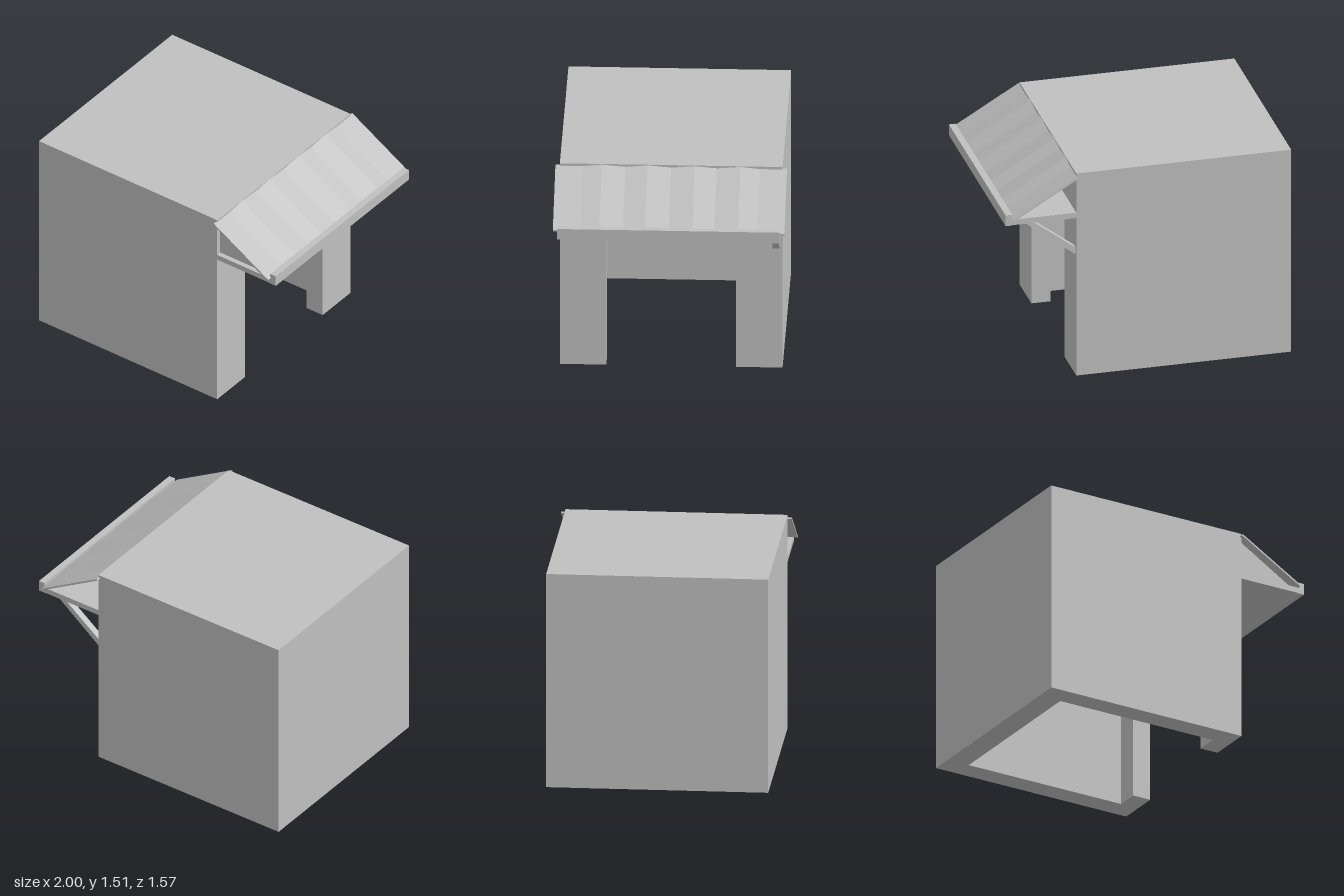
import * as THREE from 'three';

const grey = new THREE.MeshStandardMaterial({ color: 0xc0c0c0 });
grey.name = 'plain grey';

export function createModel() {
  const model = new THREE.Group();
  model.name = 'shopWithAwning';

  const add = (name, geometry, parent = model) => {
    const mesh = new THREE.Mesh(geometry, grey);
    mesh.name = name;
    parent.add(mesh);
    return mesh;
  };
  // Box given by its limits on each axis
  const block = (name, [x0, x1], [y0, y1], [z0, z1], parent) =>
    add(name, new THREE.BoxGeometry(x1 - x0, y1 - y0, z1 - z0), parent)
      .position.set((x0 + x1) / 2, (y0 + y1) / 2, (z0 + z1) / 2);
  const shapeOf = (points) => new THREE.Shape(points.map(([x, y]) => new THREE.Vector2(x, y)));
  const slab = (name, points, z0, z1, parent) =>
    add(name, new THREE.ExtrudeGeometry(shapeOf(points), { depth: z1 - z0, bevelEnabled: false }), parent)
      .position.z = z0;

  // Hollow building, open underneath, with a doorway in the +x wall
  const building = new THREE.Group();
  building.name = 'building';
  model.add(building);
  const wallX = 0.505, innerX = 0.37, backX = -0.835;
  const outerZ = 0.755, innerZ = 0.6, doorZ = 0.44;
  const ceiling = 1.35, doorTop = 1.135;
  block('roof', [-1, wallX], [ceiling, 1.51], [-outerZ, outerZ], building);
  block('backWall', [-1, backX], [0, ceiling], [-innerZ, innerZ], building);
  block('lintel', [innerX, wallX], [doorTop, ceiling], [-doorZ, doorZ], building);
  for (const [side, s] of [['left', 1], ['right', -1]]) {
    const span = (a, b) => [a * s, b * s].sort((p, q) => p - q);
    block(side + 'SideWall', [-1, wallX], [0, ceiling], span(innerZ, outerZ), building);
    block(side + 'DoorJamb', [innerX, wallX], [0, ceiling], span(doorZ, innerZ), building);
  }

  // Flat canopy base and its front beam
  const awning = new THREE.Group();
  awning.name = 'awning';
  model.add(awning);
  block('canopyBase', [wallX, 0.955], [1.177, 1.217], [-outerZ, outerZ], awning);
  block('frontBeam', [0.953, 1], [1.175, 1.255], [-outerZ, outerZ], awning);

  // Corrugated sheet: zigzag section swept up the slope
  const zs = [-0.785, -0.6, -0.47, -0.31, -0.16, 0, 0.16, 0.31, 0.47, 0.6, 0.785];
  const ridge = (i) => (i > 1 && i < 9 && i % 2 === 0 ? 0.012 : 0);
  const lower = zs.map((z, i) => [z, ridge(i)]);
  const upper = zs.map((z, i) => [z, ridge(i) + 0.012]).reverse();
  const sheet = new THREE.ExtrudeGeometry(shapeOf([...lower, ...upper]), { depth: 0.535, bevelEnabled: false });
  sheet.applyMatrix4(new THREE.Matrix4().makeBasis(
    new THREE.Vector3(0, 0, 1),
    new THREE.Vector3(0.507, 0.862, 0),
    new THREE.Vector3(-0.862, 0.507, 0)
  ).setPosition(0.953, 1.214, 0));
  add('corrugatedSheet', sheet, awning);

  // Recessed end panel under the sheet
  slab('endPanel', [[wallX, 1.217], [0.93, 1.217], [wallX, 1.475]], 0.705, 0.72, awning);

  // Single diagonal brace under the canopy
  slab('brace', [[wallX, 0.897], [0.865, 1.178], [0.805, 1.178], [wallX, 0.95]], -0.735, -0.688, awning);

  return model;
}
